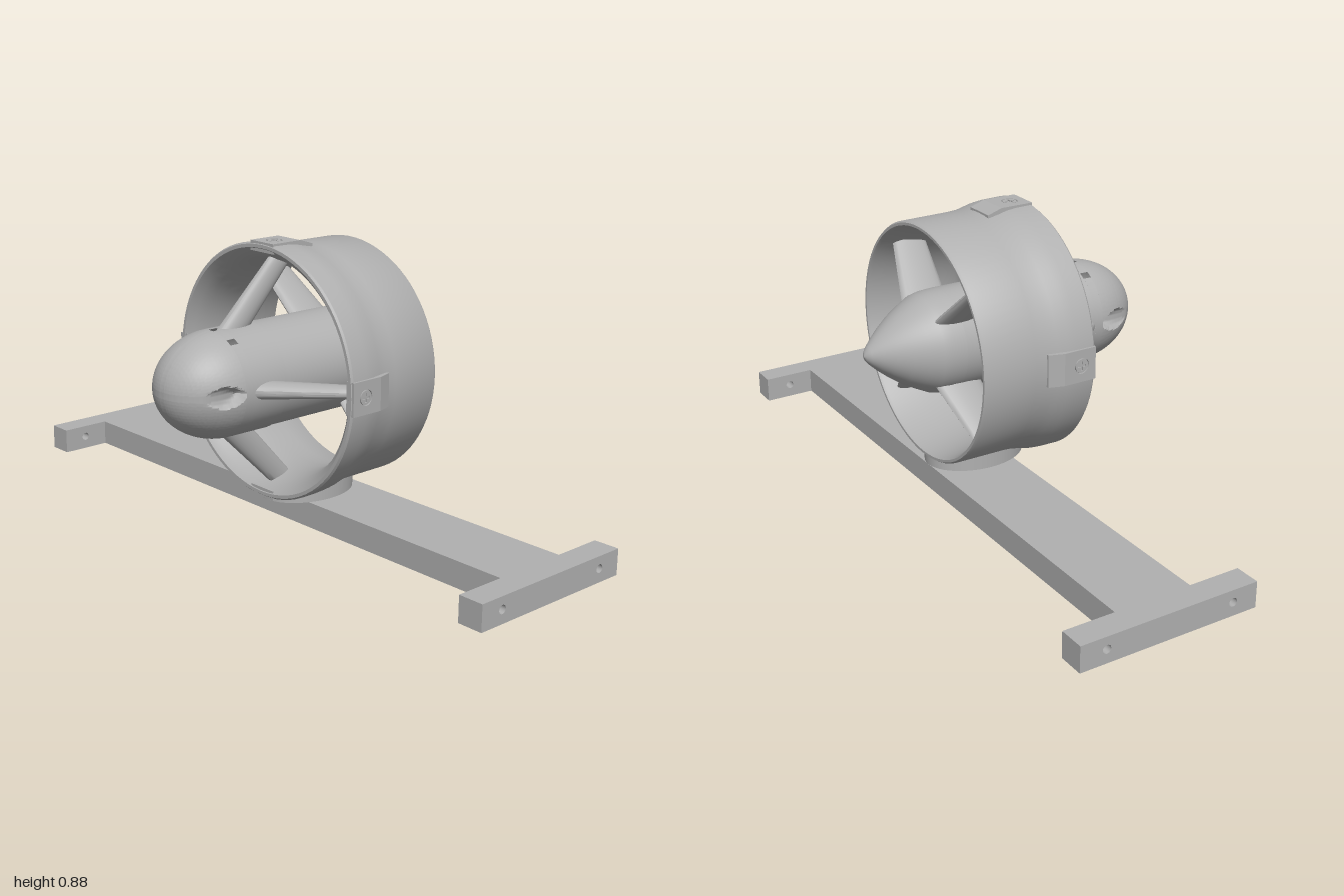
import * as THREE from 'three';
import { toCreasedNormals } from 'three/addons/utils/BufferGeometryUtils.js';

const grey = new THREE.MeshStandardMaterial({ color: 0xb0b0b0, side: THREE.DoubleSide });
grey.name = 'plain grey';

function add(parent, name, geometry) {
  const mesh = new THREE.Mesh(geometry, grey);
  mesh.name = name;
  parent.add(mesh);
  return mesh;
}

// Surface of revolution around x; points are [x, radius].
function revolve(points, segments = 72, start = 0, length = Math.PI * 2) {
  const pts = points.map(([x, r]) => new THREE.Vector2(r, x));
  return new THREE.LatheGeometry(pts, segments, start, length).rotateZ(-Math.PI / 2);
}

function rect(x0, x1, y0, y1) {
  return new THREE.Shape([[x0, y0], [x1, y0], [x1, y1], [x0, y1]].map(p => new THREE.Vector2(...p)));
}

function punch(shape, x, y, r) {
  shape.holes.push(new THREE.Path().absarc(x, y, r, 0, Math.PI * 2, true));
}

const extrude = (shape, depth) =>
  new THREE.ExtrudeGeometry(shape, { depth, bevelEnabled: false, curveSegments: 16 });

// Streamlined strut along +y; each end is [x start, x end, radius, thickness].
function strut(root, tip) {
  const g = new THREE.CylinderGeometry(1, 1, 1, 20, 6);
  const p = g.attributes.position;
  for (let i = 0; i < p.count; i++) {
    const [x0, x1, r, th] = root.map((v, k) => THREE.MathUtils.lerp(v, tip[k], p.getY(i) + 0.5));
    p.setXYZ(i, (x0 + x1) / 2 + p.getX(i) * (x1 - x0) / 2, r, p.getZ(i) * th / 2);
  }
  return toCreasedNormals(g, 0.9);
}

// Dome with a teardrop intake pressed into each side.
function noseDome() {
  const profile = [];
  const end = Math.acos(0.1);
  for (let i = 0; i <= 56; i++) {
    const a = end * i / 56;
    profile.push([-0.26 - 0.2 * Math.cos(a), 0.16 * Math.sin(a)]);
  }
  const g = revolve(profile, 160);
  const p = g.attributes.position;
  for (let i = 0; i < p.count; i++) {
    const t = (p.getX(i) + 0.4) / 0.12;
    if (t <= 0 || t >= 1) continue;
    const h = 0.03 * Math.pow(Math.sin(Math.PI * t), 0.6);
    const v = p.getY(i) / h;
    if (Math.abs(v) < 1) p.setZ(i, p.getZ(i) - Math.sign(p.getZ(i)) * 0.045 * t * Math.sqrt(1 - v * v));
  }
  return toCreasedNormals(g, 0.6);
}

// Screw head with a cross recess, facing +z.
function screwHead() {
  const s = new THREE.Shape().absarc(0, 0, 0.021, 0, Math.PI * 2);
  const a = 0.0035, b = 0.014;
  const cross = [[a, a], [a, b], [-a, b], [-a, a], [-b, a], [-b, -a], [-a, -a], [-a, -b], [a, -b], [a, -a], [b, -a], [b, a]];
  s.holes.push(new THREE.Path(cross.map(q => new THREE.Vector2(...q))));
  return extrude(s, 0.012);
}

export function createModel() {
  const model = new THREE.Group();
  model.name = 'thrusterOnStand';

  // Stand: long plate with a drilled crossbar at each end
  const stand = new THREE.Group();
  stand.name = 'stand';
  model.add(stand);
  const plate = rect(0.01, 0.255, -0.92, 0.92);
  for (const dx of [-0.04, 0.04]) for (const dz of [-0.04, 0.04]) punch(plate, 0.13 + dx, -0.06 + dz, 0.013);
  add(stand, 'standPlate', extrude(plate, 0.08).rotateX(-Math.PI / 2));
  for (const z of [-1, 0.92]) {
    const bar = rect(-0.153, 0.417, 0, 0.08);
    punch(bar, -0.073, 0.042, 0.013);
    punch(bar, 0.335, 0.042, 0.013);
    add(stand, 'crossbar', extrude(bar, 0.08)).position.z = z;
  }

  // Oval pedestal under the duct
  const pedestal = add(model, 'pedestal', new THREE.CylinderGeometry(1, 1, 0.052, 48));
  pedestal.scale.set(0.162, 1, 0.12);
  pedestal.position.set(0.093, 0.106, 0.06);

  // Thruster, with its axis along x
  const thruster = new THREE.Group();
  thruster.name = 'thruster';
  thruster.position.set(0, 0.485, 0.06);
  model.add(thruster);

  // Duct: flared inlet, narrow throat, thin outlet
  add(thruster, 'duct', toCreasedNormals(revolve([
    [-0.09, 0.374], [-0.09, 0.384], [-0.084, 0.389], [-0.03, 0.388], [0.0, 0.385], [0.03, 0.378],
    [0.06, 0.372], [0.1, 0.37], [0.262, 0.369], [0.27, 0.364], [0.27, 0.356], [0.262, 0.351],
    [0.18, 0.334], [0.1, 0.321], [0.04, 0.32], [0.0, 0.325], [-0.04, 0.337], [-0.07, 0.353], [-0.09, 0.374],
  ], 80), 0.7));

  // Nose dome, slotted band, motor body and tail cone
  add(thruster, 'noseDome', noseDome());
  const slots = [Math.PI / 2, Math.PI * 4 / 3, Math.PI * 3 / 2, Math.PI * 5 / 3];
  const half = 0.07;
  slots.forEach((a, i) => {
    const next = i < 3 ? slots[i + 1] : slots[0] + Math.PI * 2;
    const length = next - a - 2 * half;
    add(thruster, 'slottedBand', revolve([[-0.28, 0.1592], [-0.252, 0.16]], Math.ceil(length * 14), a + half, length));
  });
  add(thruster, 'noseCollar', toCreasedNormals(revolve([[-0.252, 0.16], [-0.128, 0.16], [-0.128, 0.15]]), 0.6));
  add(thruster, 'motorBody', revolve([[-0.128, 0.157], [0.1, 0.157], [0.2, 0.157]]));
  add(thruster, 'tailCone', revolve([
    [0.2, 0.157], [0.24, 0.155], [0.27, 0.149], [0.31, 0.129], [0.35, 0.106], [0.39, 0.077],
    [0.42, 0.052], [0.445, 0.028], [0.456, 0.014], [0.461, 0],
  ]));

  // Four quarters: swept front strut, rear stator, and screw pad
  for (let i = 0; i < 4; i++) {
    const quarter = new THREE.Group();
    quarter.name = 'quarter';
    quarter.rotation.x = i * Math.PI / 2;
    thruster.add(quarter);

    add(quarter, 'frontStrut', strut([-0.265, -0.145, 0.145, 0.052], [-0.06, 0.035, 0.345, 0.034]));
    add(quarter, 'rearStator', strut([0.13, 0.28, 0.135, 0.042], [0.12, 0.23, 0.338, 0.03])).rotation.x = Math.PI / 4;

    const pad = rect(-0.088, 0.018, -0.05, 0.05);
    punch(pad, -0.04, 0, 0.024);
    add(quarter, 'screwPad', extrude(pad, 0.03)).position.z = 0.362;
    const ramp = new THREE.BoxGeometry(0.047, 0.1, 0.03);
    const p = ramp.attributes.position;
    for (let k = 0; k < p.count; k++) if (p.getX(k) > 0 && p.getZ(k) > 0) p.setZ(k, 0);
    ramp.computeVertexNormals();
    add(quarter, 'padRamp', ramp).position.set(0.0415, 0, 0.377);
    add(quarter, 'screwHead', screwHead()).position.set(-0.04, 0, 0.38);
  }
  return model;
}
